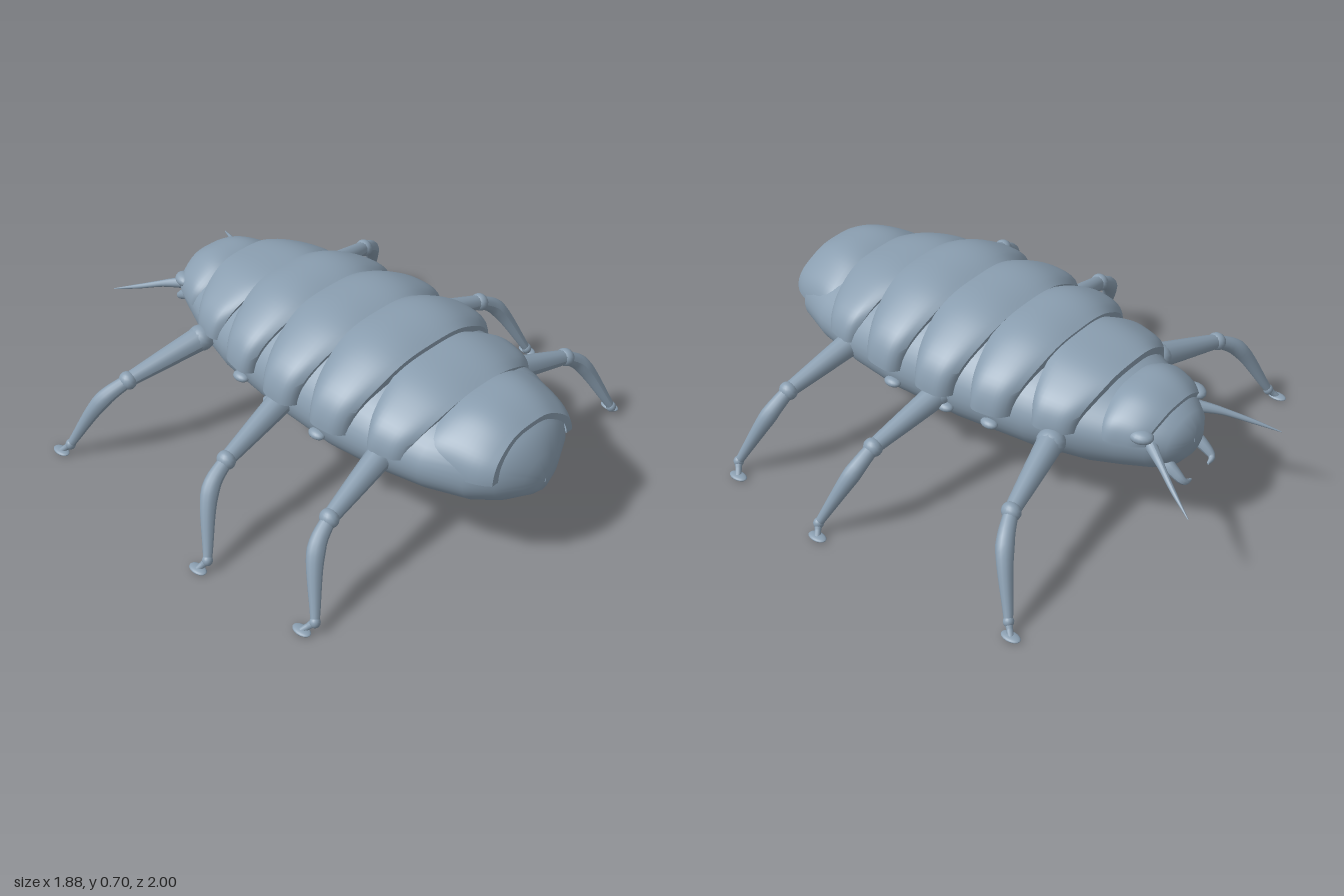
import * as THREE from 'three';
import { toCreasedNormals } from 'three/addons/utils/BufferGeometryUtils.js';

const shell = new THREE.MeshStandardMaterial({ color: 0x8a9eb0, side: THREE.DoubleSide });
shell.name = 'blue grey shell';
const V = (x, y, z) => new THREE.Vector3(x, y, z);

function add(parent, geometry, name) {
  const mesh = new THREE.Mesh(geometry, shell);
  mesh.name = name;
  parent.add(mesh);
  return mesh;
}

// Surface through rows of points; each row runs counter-clockwise seen from +z
function loft(rows, crease) {
  const w = rows[0].length, index = [];
  for (let i = 0; i < rows.length - 1; i++)
    for (let j = 0; j < w - 1; j++) {
      const a = i * w + j, c = a + w;
      index.push(a, a + 1, c, a + 1, c + 1, c);
    }
  const g = new THREE.BufferGeometry().setFromPoints(rows.flat());
  g.setIndex(index);
  return toCreasedNormals(g, crease);
}

// Tube along a smooth path with a radius that changes along its length
function taper(points, radii, flat = 1) {
  const curve = new THREE.CatmullRomCurve3(points);
  const n = 16, sides = 12;
  const g = new THREE.TubeGeometry(curve, n, 1, sides);
  const p = g.attributes.position, v = V(0, 0, 0);
  for (let i = 0; i < p.count; i++) {
    const t = Math.floor(i / (sides + 1)) / n;
    const c = curve.getPointAt(t);
    const f = t * (radii.length - 1), k = Math.min(Math.floor(f), radii.length - 2);
    const r = THREE.MathUtils.lerp(radii[k], radii[k + 1], f - k);
    v.fromBufferAttribute(p, i).sub(c).multiplyScalar(r);
    v.y *= flat;
    v.add(c);
    p.setXYZ(i, v.x, v.y, v.z);
  }
  g.computeVertexNormals();
  return g;
}

function ball(parent, pos, size, name) {
  const mesh = add(parent, new THREE.SphereGeometry(1, 16, 12), name);
  mesh.position.copy(pos);
  mesh.scale.set(...size);
  return mesh;
}

// Body core: z, half width, bottom, top, side line
function body() {
  const sections = [
    [-0.82, 0.002, 0.39, 0.41, 0.40], [-0.815, 0.065, 0.34, 0.45, 0.40], [-0.78, 0.125, 0.295, 0.49, 0.40],
    [-0.72, 0.175, 0.262, 0.52, 0.41], [-0.62, 0.22, 0.235, 0.54, 0.41],
    [-0.5, 0.275, 0.207, 0.57, 0.42], [-0.3, 0.34, 0.2, 0.62, 0.42],
    [0, 0.38, 0.19, 0.66, 0.42], [0.3, 0.395, 0.195, 0.66, 0.42],
    [0.5, 0.375, 0.207, 0.62, 0.42], [0.7, 0.335, 0.23, 0.59, 0.42],
    [0.85, 0.27, 0.252, 0.58, 0.41], [0.93, 0.195, 0.28, 0.54, 0.40],
    [0.98, 0.095, 0.305, 0.46, 0.38], [0.995, 0.04, 0.32, 0.41, 0.37], [1, 0.002, 0.355, 0.37, 0.36],
  ];
  const rows = sections.map(([z, w, lo, hi, mid]) => {
    const row = [];
    for (let j = 0; j <= 48; j++) {
      const a = (j / 48) * Math.PI * 2, s = Math.sin(a);
      row.push(V(w * Math.cos(a), mid + s * (s > 0 ? hi - mid : mid - lo), z));
    }
    return row;
  });
  return loft(rows, 0.9);
}

// Domed back plate: arched across, bulging along, with turned-in edges
function plate([z0, z1, w0, w1, h0, h1, bulge, shrink, base]) {
  const rows = [], n = 12, m = 40;
  for (let i = -1; i <= n + 1; i++) {
    const t = Math.min(Math.max(i / n, 0), 1), u = 2 * t - 1;
    const inset = i < 0 || i > n ? 0.86 : 1;
    const w = THREE.MathUtils.lerp(w0, w1, t) * (1 - 0.1 * u ** 4) * inset;
    const h = (THREE.MathUtils.lerp(h0, h1, t) + bulge * (1 - u * u) - base) * inset;
    const row = [];
    for (let j = -1; j <= m + 1; j++) {
      const a = (Math.min(Math.max(j / m, 0), 1)) * Math.PI;
      const c = Math.cos(a), s = Math.sin(a);
      const tuck = j < 0 || j > m ? 0.85 : 1;
      const ripple = 1 + 0.012 * Math.cos(a * 8 + Math.PI) * s;
      const mid = (z0 + z1) / 2, half = (z1 - z0) / 2;
      const narrow = 1 - shrink * Math.abs(c) ** 3;
      row.push(V(w * tuck * ripple * c, base + h * ripple * s, mid + half * u * narrow));
    }
    rows.push(row);
  }
  return loft(rows, 0.7);
}

// Leg from hip, knee, shin bend and ankle to a flat foot pad
function leg(parent, s, name, hip, knee, shin, ankle, foot) {
  const g = new THREE.Group();
  g.name = name;
  parent.add(g);
  const [H, K, S, A, F] = [hip, knee, shin, ankle, foot].map(([x, y, z]) => V(x * s, y, z));
  add(g, taper([H, H.clone().lerp(K, 0.5), K], [0.05, 0.04, 0.029]), 'thigh');
  ball(g, H, [0.052, 0.05, 0.055], 'hip');
  ball(g, K, [0.033, 0.036, 0.038], 'knee');
  add(g, taper([K, S, A], [0.026, 0.034, 0.025, 0.016]), 'shin');
  ball(g, A, [0.02, 0.022, 0.02], 'ankle');
  add(g, taper([A, A.clone().lerp(F, 0.5), F], [0.016, 0.012, 0.012]), 'toe');
  ball(g, F, [0.024, 0.009, 0.04], 'footPad');
}

export function createModel() {
  const model = new THREE.Group();
  model.name = 'beetle';
  add(model, body(), 'body');

  // Back plates from head to tail
  [
    [-0.745, -0.545, 0.19, 0.25, 0.535, 0.565, 0.03, 0.2, 0.43],
    [-0.535, -0.285, 0.31, 0.35, 0.615, 0.645, 0.012, 0.35, 0.44],
    [-0.3, -0.045, 0.38, 0.41, 0.655, 0.665, 0.03, 0.35, 0.44],
    [-0.06, 0.205, 0.425, 0.43, 0.67, 0.675, 0.028, 0.35, 0.44],
    [0.185, 0.455, 0.43, 0.415, 0.68, 0.67, 0.03, 0.35, 0.44],
    [0.44, 0.69, 0.395, 0.36, 0.65, 0.61, 0.018, 0.35, 0.44],
    [0.67, 0.92, 0.32, 0.24, 0.605, 0.575, 0.032, -0.15, 0.43],
  ].forEach((p, i) => add(model, plate(p), 'backPlate' + (i + 1)));

  for (const s of [1, -1]) {
    const side = s > 0 ? 'left' : 'right';
    leg(model, s, side + 'FrontLeg', [0.33, 0.405, -0.43], [0.64, 0.33, -0.5], [0.73, 0.265, -0.545], [0.835, 0.045, -0.645], [0.86, 0.01, -0.675]);
    leg(model, s, side + 'MiddleLeg', [0.37, 0.405, 0.065], [0.685, 0.33, 0.105], [0.775, 0.265, 0.12], [0.885, 0.045, 0.21], [0.915, 0.01, 0.19]);
    leg(model, s, side + 'RearLeg', [0.34, 0.405, 0.535], [0.64, 0.33, 0.58], [0.72, 0.265, 0.6], [0.825, 0.045, 0.695], [0.86, 0.01, 0.665]);

    // Breathing holes along the flank
    [[0.395, 0.27], [0.385, 0.02], [0.36, -0.17]].forEach(([x, z]) =>
      ball(model, V(s * x, 0.377, z), [0.025, 0.018, 0.036], side + 'Spiracle'));

    // Head details
    const eye = ball(model, V(s * 0.17, 0.467, -0.705), [0.035, 0.025, 0.046], side + 'Eye');
    eye.rotation.y = s * 0.3;
    add(model, taper([V(s * 0.145, 0.425, -0.73), V(s * 0.19, 0.41, -0.8), V(s * 0.25, 0.375, -0.9), V(s * 0.303, 0.34, -1)],
      [0.024, 0.013, 0.009, 0.002]), side + 'Antenna');
    add(model, taper([V(s * 0.09, 0.345, -0.73), V(s * 0.095, 0.31, -0.8), V(s * 0.088, 0.28, -0.845), V(s * 0.055, 0.272, -0.85)],
      [0.028, 0.026, 0.018, 0.005]), side + 'Mandible');
  }
  return model;
}
